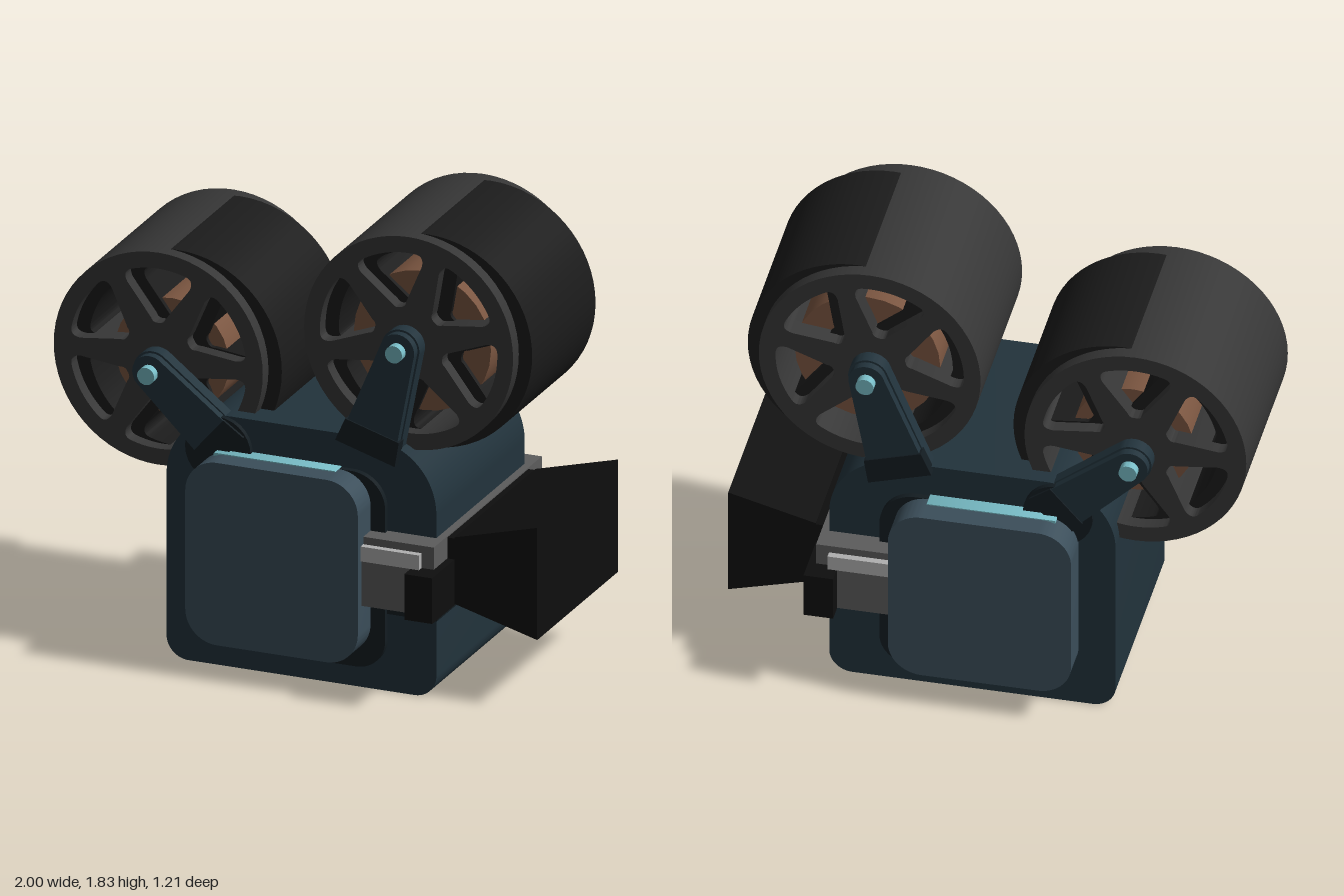
import * as THREE from 'three';
import { toCreasedNormals } from 'three/addons/utils/BufferGeometryUtils.js';

const mat = (color) => new THREE.MeshStandardMaterial({ color });
const M = {
  body: mat(0x22333c), dark: mat(0x131c21), panel: mat(0x3b4e5a), reel: mat(0x363636),
  drum: mat(0x1b1b1b), film: mat(0x7a5540), accent: mat(0x78bcc6),
  grey: mat(0x5c5c5c), light: mat(0xb0b0b0), black: mat(0x0e0e0e),
};

// Extrudes a front-view outline between two depths
function slab(name, shape, z0, z1, material) {
  const g = new THREE.ExtrudeGeometry(shape, { depth: z1 - z0, bevelEnabled: false, curveSegments: 14 });
  g.translate(0, 0, z0);
  const mesh = new THREE.Mesh(toCreasedNormals(g, 0.6), material);
  mesh.name = name;
  return mesh;
}

// The same slab on the front and the back
function pair(name, shape, z0, z1, material) {
  const group = new THREE.Group();
  group.name = name;
  group.add(slab(name + 'Front', shape, z0, z1, material), slab(name + 'Back', shape, -z1, -z0, material));
  return group;
}

// Rectangle with separate radii for the bottom and top corners
function roundRect(x0, x1, y0, y1, rb, rt = rb) {
  const s = new THREE.Shape();
  s.moveTo(x0 + rb, y0);
  s.lineTo(x1 - rb, y0);
  s.absarc(x1 - rb, y0 + rb, rb, -Math.PI / 2, 0);
  s.lineTo(x1, y1 - rt);
  s.absarc(x1 - rt, y1 - rt, rt, 0, Math.PI / 2);
  s.lineTo(x0 + rt, y1);
  s.absarc(x0 + rt, y1 - rt, rt, Math.PI / 2, Math.PI);
  s.lineTo(x0, y0 + rb);
  s.absarc(x0 + rb, y0 + rb, rb, Math.PI, Math.PI * 1.5);
  return s;
}

const polygon = (pts) => new THREE.Shape(pts.map((p) => new THREE.Vector2(p[0], p[1])));

function disc(x, y, r) {
  const s = new THREE.Shape();
  s.absarc(x, y, r, 0, Math.PI * 2);
  return s;
}

function box(name, x0, x1, y0, y1, halfZ, material) {
  const mesh = new THREE.Mesh(new THREE.BoxGeometry(x1 - x0, y1 - y0, halfZ * 2), material);
  mesh.position.set((x0 + x1) / 2, (y0 + y1) / 2, 0);
  mesh.name = name;
  return mesh;
}

// Wheel outline with six rounded openings between the spokes
function wheelShape(turn) {
  const s = new THREE.Shape();
  for (let i = 0; i < 64; i++) {
    const a = (i / 64) * Math.PI * 2;
    if (i) s.lineTo(0.43 * Math.cos(a), 0.43 * Math.sin(a));
    else s.moveTo(0.43, 0);
  }
  const R = 0.365, r = 0.145;
  const tOut = Math.PI / 6 - Math.asin(0.038 / R);
  const tIn = Math.PI / 6 - Math.asin(0.052 / r);
  for (let i = 0; i < 6; i++) {
    const mid = turn + (i + 0.5) * Math.PI / 3;
    const at = (rad, t) => [rad * Math.cos(mid + t), rad * Math.sin(mid + t)];
    const hole = new THREE.Path();
    hole.moveTo(...at(R, -tOut + 0.1));
    hole.absarc(0, 0, R, mid - tOut + 0.1, mid + tOut - 0.1);
    hole.quadraticCurveTo(...at(R, tOut), ...at(R - 0.045, tOut - 0.01));
    hole.lineTo(...at(r + 0.02, tIn + 0.02));
    hole.quadraticCurveTo(...at(r, tIn), ...at(r, 0));
    hole.quadraticCurveTo(...at(r, -tIn), ...at(r + 0.02, -tIn - 0.02));
    hole.lineTo(...at(R - 0.045, -tOut + 0.01));
    hole.quadraticCurveTo(...at(R, -tOut), ...at(R, -tOut + 0.1));
    s.holes.push(hole);
  }
  return s;
}

// Film reel: outer wheel, a shorter offset drum, and the wound film
function filmReel(name, x, y, turn, filmRadius) {
  const group = new THREE.Group();
  group.name = name;
  const shape = wheelShape(turn);
  const drum = slab('reelDrum', shape, -0.305, 0.305, M.drum);
  drum.position.x = 0.055;
  group.add(slab('reelWheel', shape, -0.36, 0.36, M.reel), drum,
    slab('woundFilm', disc(0.025, -0.012, filmRadius), -0.285, 0.285, M.film));
  group.position.set(x, y, 0);
  return group;
}

// Arm outline: round at the pivot, widening towards the base
function armShape(px, py, bx, by, r, w) {
  const a = Math.atan2(by - py, bx - px);
  const nx = -Math.sin(a), ny = Math.cos(a);
  const s = new THREE.Shape();
  s.moveTo(bx - nx * w, by - ny * w);
  s.lineTo(bx + nx * w, by + ny * w);
  s.lineTo(px + nx * r, py + ny * r);
  s.absarc(px, py, r, a + Math.PI / 2, a + Math.PI * 1.5);
  return s;
}

// Arm on both sides with a dark cuff at its base and a pin at its pivot
function reelArm(name, px, py, bx, by, w) {
  const group = new THREE.Group();
  group.name = name;
  const d = Math.hypot(bx - px, by - py);
  const ux = (bx - px) / d, uy = (by - py) / d;
  const corner = (back, side) => [bx - ux * back - uy * side, by - uy * back + ux * side];
  const cuff = polygon([corner(0, -w), corner(0, w), corner(0.1, w * 0.9), corner(0.1, -w * 0.9)]);
  group.add(
    pair('armInner', armShape(px, py, bx, by, 0.078, w * 0.96), 0.365, 0.42, M.body),
    pair('armOuter', armShape(px, py, bx, by, 0.07, w * 0.92), 0.42, 0.452, M.body),
    pair('armCuff', cuff, 0.41, 0.458, M.dark),
    pair('pivotPin', disc(px, py, 0.035), 0.36, 0.487, M.accent));
  return group;
}

export function createModel() {
  const model = new THREE.Group();
  model.name = 'filmCamera';

  // Housing with a dark backing plate and raised cover on each side
  model.add(
    slab('housing', roundRect(-0.51, 0.6, 0, 1.015, 0.09, 0.27), -0.425, 0.425, M.body),
    pair('backingPlate', roundRect(-0.35, 0.4, 0.09, 0.88, 0.12, 0.14), 0.42, 0.45, M.dark),
    pair('sideCover', roundRect(-0.37, 0.34, 0.14, 0.88, 0.13), 0.44, 0.573, M.panel),
    pair('accentStrip', roundRect(-0.29, 0.21, 0.8, 0.884, 0.003), 0.425, 0.487, M.accent),
    pair('armSocket', disc(-0.29, 0.88, 0.135), 0.41, 0.447, M.dark));

  // Reels and their arms
  model.add(
    filmReel('lowReel', -0.572, 1.177, 0, 0.235),
    filmReel('highReel', 0.458, 1.397, 0.24, 0.282),
    reelArm('lowReelArm', -0.57, 1.15, -0.25, 0.87, 0.105),
    reelArm('highReelArm', 0.45, 1.393, 0.32, 0.963, 0.128));

  // Lens mount brackets wrapping the nose, then the flared hood
  model.add(
    box('mountShadow', 0.34, 0.605, 0.315, 0.6, 0.432, M.dark),
    box('mountBlock', 0.33, 0.56, 0.375, 0.57, 0.535, M.grey),
    box('mountTop', 0.34, 0.63, 0.56, 0.65, 0.52, M.grey),
    box('mountTrim', 0.34, 0.58, 0.56, 0.62, 0.547, M.light),
    box('mountBar', 0.545, 0.66, 0.375, 0.56, 0.605, M.black),
    box('hoodNeck', 0.59, 0.665, 0.38, 0.645, 0.39, M.black),
    slab('lensHood', polygon([[0.66, 0.38], [1, 0.285], [1, 0.74], [0.66, 0.65]]), -0.39, 0.39, M.black));

  return model;
}
